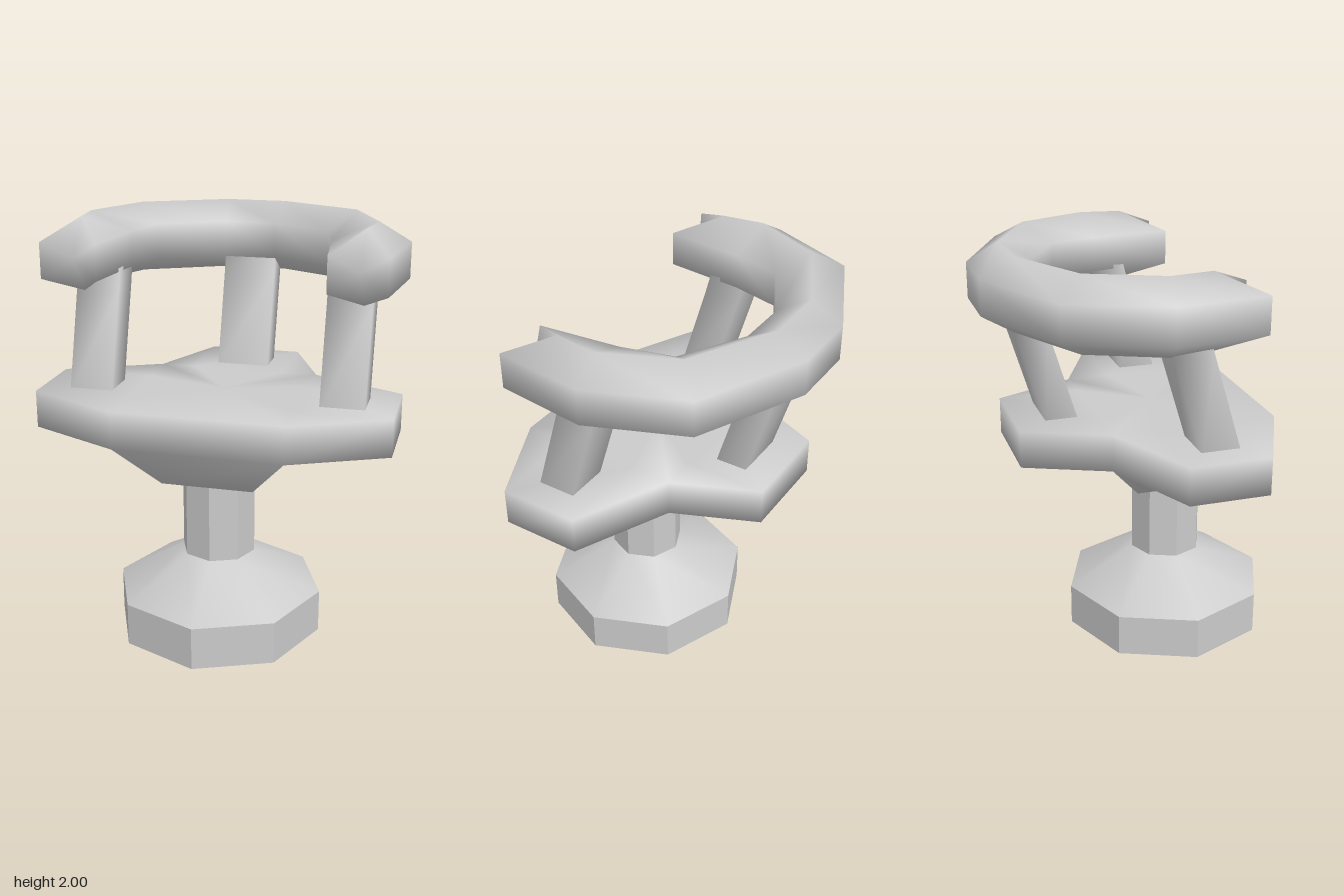
import * as THREE from 'three';
import { mergeVertices, toCreasedNormals } from 'three/addons/utils/BufferGeometryUtils.js';

const material = new THREE.MeshStandardMaterial({ color: 0xcccccc });

// Smooth skin over a stack of equal-sized closed rings, with optional fan caps
function loft(rings, capped = true) {
  const n = rings[0].length, last = (rings.length - 1) * n;
  const points = rings.flat();
  const index = [];
  for (let i = 0; i < rings.length - 1; i++) {
    for (let j = 0; j < n; j++) {
      const k = (j + 1) % n;
      const a = i * n + j, b = i * n + k, c = b + n, d = a + n;
      index.push(a, b, c, a, c, d);
    }
  }
  if (capped) {
    const middle = ring => [0, 1, 2].map(k => ring.reduce((s, p) => s + p[k], 0) / n);
    const start = points.push(middle(rings[0])) - 1;
    const end = points.push(middle(rings[rings.length - 1])) - 1;
    for (let j = 0; j < n; j++) {
      const k = (j + 1) % n;
      index.push(start, k, j, end, last + j, last + k);
    }
  }
  const geometry = new THREE.BufferGeometry();
  geometry.setAttribute('position', new THREE.Float32BufferAttribute(points.flat(), 3));
  geometry.setIndex(index);
  const merged = mergeVertices(geometry, 1e-4);
  merged.computeVertexNormals();
  return merged;
}

function addPart(group, name, geometry) {
  const mesh = new THREE.Mesh(geometry, material);
  mesh.name = name;
  group.add(mesh);
}

// Eight-sided foot, sloping shoulder and column
function pedestalGeometry() {
  const profile = [[0, 0], [0.51, 0], [0.51, 0.21], [0.18, 0.4], [0.18, 0.82]]
    .map(p => new THREE.Vector2(...p));
  const geometry = new THREE.LatheGeometry(profile, 8);
  geometry.translate(0, 0, 0.21);
  return toCreasedNormals(geometry, 0.6);
}

// Seat slab with side wings and back tab, on a square funnel
function seatGeometry() {
  const half = [[0.4, 0.61], [0.85, 0.4], [0.85, 0.02], [0.4, -0.19], [0.23, -0.585]];
  const outline = [...half, ...half.map(([x, z]) => [-x, z]).reverse()];
  const core = outline.map(([x, z]) => [
    THREE.MathUtils.clamp(x, -0.4, 0.4), THREE.MathUtils.clamp(z, -0.19, 0.61)]);
  const neck = core.map(([x, z]) => [x * 0.55, 0.21 + (z - 0.21) * 0.55]);
  const at = (shape, y) => shape.map(([x, z]) => [x, y, z]);
  return loft([at(neck, 0.8), at(core, 1.02), at(outline, 1.02), at(outline, 1.2), at(core, 1.2)]);
}

// Horseshoe armrest: a hexagonal section swept round the back
function armrestGeometry() {
  // each station: inner, ridge and outer points in x, z
  const half = [
    [[0.53, 0.38], [0.67, 0.17], [0.8, 0.38]],
    [[0.49, -0.01], [0.7, -0.03], [0.85, -0.05]],
    [[0.43, -0.25], [0.55, -0.37], [0.67, -0.49]],
    [[0.13, -0.42], [0.15, -0.575], [0.165, -0.725]],
  ];
  const mirrored = half.map(s => s.map(([x, z]) => [-x, z])).reverse();
  return loft([...half, ...mirrored].map(([inner, ridge, outer]) => [
    [inner[0], 1.74, inner[1]], [inner[0], 1.91, inner[1]],
    [ridge[0], 2, ridge[1]],
    [outer[0], 1.91, outer[1]], [outer[0], 1.74, outer[1]],
    [ridge[0], 1.65, ridge[1]],
  ]));
}

// Post leaning backwards, running from the seat up into the armrest
function postGeometry(x0, x1, front, back) {
  const ring = (y, shift) => [
    [x0, y, front + shift], [x1, y, front + shift],
    [x1, y, back + shift], [x0, y, back + shift]];
  return loft([ring(1.18, 0.006), ring(1.65, -0.135), ring(1.76, -0.165)], false);
}

export function createModel() {
  const group = new THREE.Group();
  group.name = 'chair';
  addPart(group, 'pedestal', pedestalGeometry());
  addPart(group, 'seat', seatGeometry());
  addPart(group, 'armrest', armrestGeometry());
  addPart(group, 'leftPost', postGeometry(0.5, 0.71, 0.305, 0.12));
  addPart(group, 'rightPost', postGeometry(-0.71, -0.5, 0.305, 0.12));
  addPart(group, 'backPost', postGeometry(-0.13, 0.13, -0.285, -0.44));
  return group;
}
